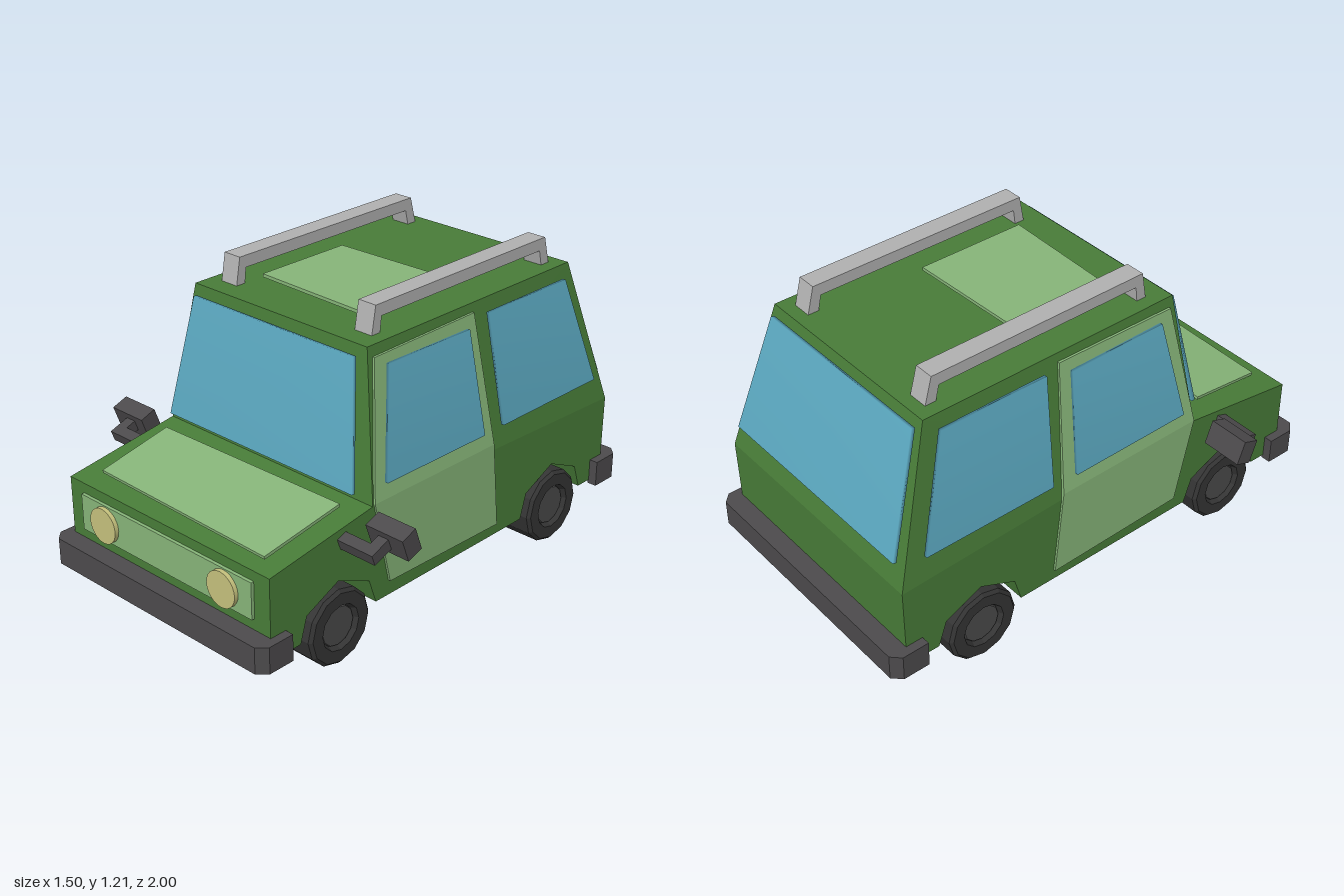
import * as THREE from 'three';

const mat = (color, flatShading = true) => new THREE.MeshStandardMaterial({ color, flatShading });
const GREEN = mat(0x487c38), LIGHT = mat(0x86b478), GLASS = mat(0x5ba8c0, false);
const DARK = mat(0x4c4a4c), TYRE = mat(0x343434), HUB = mat(0x4a4a4a);
const RAIL = mat(0xb0b0b0), LAMP = mat(0xc4c07c, false);

// Half width of the body at height y: straight below the waist, leaning in above it
const sideX = (y) => 0.52 - 0.09 * Math.max(0, (y - 0.55) / 0.55);

// Side outline of [z, y] points extruded across x, centred on x = 0
function sideExtrude(points, width) {
  const shape = new THREE.Shape(points.map(([z, y]) => new THREE.Vector2(z, y)));
  const g = new THREE.ExtrudeGeometry(shape, { depth: width, bevelEnabled: false });
  return g.translate(0, 0, -width / 2).rotateY(-Math.PI / 2);
}

// Thin closed slab: convex outer outline plus an offset to its inner face
function slab(outline, offset) {
  let pts = outline.map((p) => new THREE.Vector3(...p));
  const off = new THREE.Vector3(...offset);
  const normal = pts[1].clone().sub(pts[0]).cross(pts[2].clone().sub(pts[0]));
  if (normal.dot(off) > 0) pts = pts.reverse();
  const n = pts.length, index = [];
  const all = [...pts, ...pts.map((p) => p.clone().add(off))];
  for (let i = 1; i < n - 1; i++) index.push(0, i, i + 1, n, n + i + 1, n + i);
  for (let i = 0; i < n; i++) {
    const j = (i + 1) % n;
    index.push(i, n + i, n + j, i, n + j, j);
  }
  const g = new THREE.BufferGeometry().setFromPoints(all);
  g.setIndex(index);
  g.computeVertexNormals();
  return g;
}

export function createModel() {
  const car = new THREE.Group();
  car.name = 'car';
  const add = (name, geometry, material, parent = car) => {
    const m = new THREE.Mesh(geometry, material);
    m.name = name;
    parent.add(m);
    return m;
  };

  // Lower body with wheel arches cut across the full width
  const arch = (c) => [[c - 0.19, 0.16], [c - 0.155, 0.26], [c, 0.33], [c + 0.155, 0.26], [c + 0.185, 0.16]];
  add('lowerBody', sideExtrude([
    [-0.925, 0.16], ...arch(-0.595), ...arch(0.6), [0.925, 0.16],
    [0.925, 0.48], [0.43, 0.55], [-0.93, 0.5],
  ], 1.04), GREEN);

  // Cabin, leaning in towards the roof
  const cabin = sideExtrude([[0.43, 0.55], [0.365, 1.1], [-0.75, 1.1], [-0.93, 0.5]], 1.04);
  const p = cabin.attributes.position;
  for (let i = 0; i < p.count; i++) p.setX(i, Math.sign(p.getX(i)) * sideX(p.getY(i)));
  cabin.computeVertexNormals();
  add('cabin', cabin, GREEN);

  // Windscreen and rear window
  add('windscreen', slab([
    [-0.47, 0.597, 0.482], [0.47, 0.597, 0.482], [0.4, 1.067, 0.402], [-0.4, 1.067, 0.402],
  ], [0, -0.002, -0.015]), GLASS);
  add('rearWindow', slab([
    [-0.475, 0.61, -0.93], [0.475, 0.61, -0.93], [0.41, 1.07, -0.782], [-0.41, 1.07, -0.782],
  ], [0, -0.004, 0.015]), GLASS);

  // Bonnet, grille and roof panels
  add('bonnetPanel', slab([
    [-0.44, 0.566, 0.53], [0.445, 0.568, 0.515], [0.445, 0.513, 0.875], [-0.42, 0.515, 0.855],
  ], [0, -0.012, -0.002]), LIGHT);
  add('grillePanel', slab([
    [-0.445, 0.295, 0.938], [0.445, 0.295, 0.938], [0.445, 0.44, 0.938], [-0.445, 0.44, 0.938],
  ], [0, 0, -0.02]), LIGHT);
  add('roofPanel', slab([
    [-0.25, 1.136, -0.225], [0.238, 1.136, -0.24], [0.238, 1.136, 0.212], [-0.25, 1.136, 0.195],
  ], [0, -0.013, 0]), LIGHT);

  // Bumpers wrapping round the body ends
  const bumperShape = new THREE.Shape([
    [-0.555, 0.855], [-0.515, 0.855], [-0.515, 0.92], [0.515, 0.92], [0.515, 0.855],
    [0.555, 0.855], [0.555, 0.965], [0.52, 1], [-0.52, 1], [-0.555, 0.965],
  ].map(([x, z]) => new THREE.Vector2(x, z)));
  const bumper = new THREE.ExtrudeGeometry(bumperShape, { depth: 0.105, bevelEnabled: false })
    .rotateX(Math.PI / 2).translate(0, 0.25, 0);
  add('frontBumper', bumper, DARK);
  add('rearBumper', bumper, DARK).rotation.y = Math.PI;

  const railGeo = sideExtrude([
    [0.285, 1.095], [0.265, 1.207], [-0.67, 1.207], [-0.7, 1.095],
    [-0.655, 1.095], [-0.64, 1.16], [0.235, 1.16], [0.243, 1.095],
  ], 0.08);

  // Twelve-sided tyre with a recessed face, and its hub
  const tyreGeo = new THREE.LatheGeometry([
    [0, 0], [0.15, 0], [0.15, 0.158], [0.138, 0.17], [0.09, 0.17], [0.08, 0.148], [0, 0.148],
  ].map(([r, h]) => new THREE.Vector2(r, h)), 12);
  const hubGeo = new THREE.CylinderGeometry(0.076, 0.08, 0.008, 12).translate(0, 0.151, 0);

  for (const s of [1, -1]) {
    const side = s > 0 ? 'left' : 'right';
    // Points on the body side, standing out by a gap
    const onSide = (points, gap) => points.map(([z, y]) => [s * (sideX(y) + gap), y, z]);

    // Door in two leaves that follow the waist bend
    const door = new THREE.Group();
    door.name = side + 'Door';
    car.add(door);
    add('doorLower', slab(onSide([[0.345, 0.22], [0.425, 0.56], [-0.22, 0.555], [-0.255, 0.205]], 0.009),
      [-s * 0.015, 0, 0]), LIGHT, door);
    add('doorUpper', slab(onSide([[0.425, 0.56], [0.345, 1.06], [-0.18, 1.067], [-0.22, 0.555]], 0.009),
      [-s * 0.015, 0, 0]), LIGHT, door);

    // Side windows
    add(side + 'FrontWindow', slab(onSide([[0.365, 0.62], [0.29, 1.025], [-0.135, 1.02], [-0.16, 0.615]], 0.022),
      [-s * 0.014, 0, 0]), GLASS);
    add(side + 'RearWindow', slab(onSide([[-0.27, 0.617], [-0.247, 1.05], [-0.7, 1.05], [-0.83, 0.617]], 0.022),
      [-s * 0.014, 0, 0]), GLASS);

    add(side + 'RoofRail', railGeo, RAIL).position.x = s * 0.336;

    // Headlight disc
    const lamp = add(side + 'Headlight', new THREE.CylinderGeometry(0.07, 0.07, 0.025, 24), LAMP);
    lamp.rotation.x = Math.PI / 2;
    lamp.position.set(s * 0.311, 0.365, 0.942);

    // Wing mirror on a cranked arm, tilted forward
    const mirror = new THREE.Group();
    mirror.name = side + 'Mirror';
    mirror.position.set(0, 0.514, 0.484);
    mirror.rotation.x = 0.35;
    car.add(mirror);
    const box = (name, w, h, d, x, z) =>
      add(name, new THREE.BoxGeometry(w, h, d).translate(s * x, 0, z), DARK, mirror);
    box('mirrorHead', 0.168, 0.095, 0.07, 0.666, 0);
    box('mirrorStem', 0.045, 0.045, 0.045, 0.657, 0.055);
    box('mirrorArm', 0.17, 0.045, 0.045, 0.595, 0.099);

    // Wheels
    for (const [end, z] of [['Front', 0.605], ['Rear', -0.595]]) {
      const wheel = new THREE.Group();
      wheel.name = side + end + 'Wheel';
      wheel.position.set(s * 0.366, 0.15, z);
      wheel.rotation.z = -s * Math.PI / 2;
      car.add(wheel);
      add('tyre', tyreGeo, TYRE, wheel);
      add('hub', hubGeo, HUB, wheel);
    }
  }
  return car;
}
